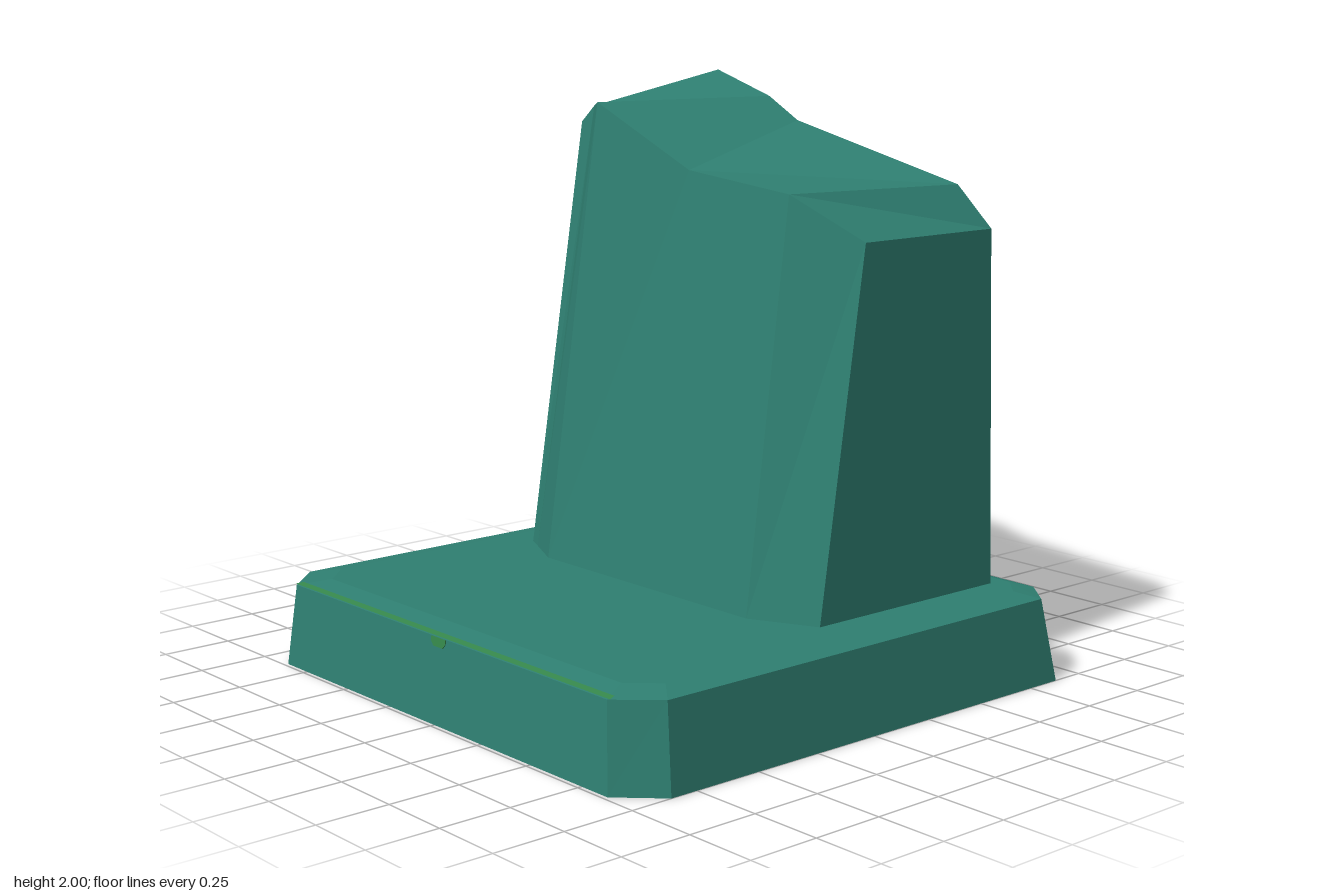
import * as THREE from 'three';

const teal = new THREE.MeshStandardMaterial({ color: 0x2f8072, side: THREE.DoubleSide });
teal.name = 'teal shell';
const green = new THREE.MeshStandardMaterial({ color: 0x36894c, side: THREE.DoubleSide });
green.name = 'green accent';

// Flat-faced surface from quads given as four corners, counter-clockwise from outside
function quadMesh(name, quads, material) {
  const pos = [];
  for (const [a, b, c, d] of quads) pos.push(...a, ...b, ...c, ...a, ...c, ...d);
  const geo = new THREE.BufferGeometry();
  geo.setAttribute('position', new THREE.Float32BufferAttribute(pos, 3));
  geo.computeVertexNormals();
  const mesh = new THREE.Mesh(geo, material);
  mesh.name = name;
  return mesh;
}

// Quads joining two matching rows of points
function strip(lower, upper, closed = false) {
  const quads = [];
  const n = lower.length;
  for (let i = 0; i < (closed ? n : n - 1); i++) {
    const j = (i + 1) % n;
    quads.push([lower[i], lower[j], upper[j], upper[i]]);
  }
  return quads;
}

// Rectangle with cut corners, running from the back right round the front
function ring(y, xi, xo, zf, zfi, zb, zbi) {
  const half = [[xi, zb], [xo, zbi], [xo, zfi], [xi, zf]];
  return [
    ...half.map(([x, z]) => [-x, y, z]),
    ...half.reverse().map(([x, z]) => [x, y, z]),
  ];
}

export function createModel() {
  const model = new THREE.Group();
  model.name = 'openBackedHousing';

  // Base skirt, open at the back, with a shallow bevel
  const foot = ring(0, 0.87, 1.0, 0.985, 0.85, -0.985, -0.88);
  const rim = ring(0.285, 0.84, 0.96, 0.96, 0.83, -0.94, -0.84);
  const deck = ring(0.3, 0.78, 0.87, 0.855, 0.76, -0.885, -0.8);
  model.add(quadMesh('baseSkirt', strip(foot, rim), teal));
  model.add(quadMesh('baseBevel', strip(rim, deck, true), teal));

  // Column outline at the deck, then front and back edges of its sloping roof
  const ground = [
    [-0.75, 0.3, 0], [-0.68, 0.3, 0.033], [-0.52, 0.3, 0.11],
    [0, 0.3, 0.11], [0.52, 0.3, 0.11], [0.75, 0.3, 0],
  ];
  const frontEdge = [
    [-0.72, 1.83, -0.22], [-0.65, 1.89, -0.22], [-0.485, 1.915, -0.1],
    [0, 1.71, -0.1], [0.485, 1.665, -0.1], [0.715, 1.52, -0.22],
  ];
  const backEdge = [
    [-0.72, 1.94, -0.82], [-0.65, 2.0, -0.82], [-0.36, 1.915, -0.81],
    [-0.2, 1.835, -0.8], [0.61, 1.665, -0.765], [0.715, 1.52, -0.82],
  ];
  const backRight = [-0.75, 0.3, -0.82];
  const backLeft = [0.75, 0.3, -0.82];

  // Deck with the column opening cut out
  const flat = ([x, , z]) => new THREE.Vector2(x, -z);
  const shape = new THREE.Shape(deck.map(flat));
  shape.holes.push(new THREE.Path([backRight, ...ground, backLeft].map(flat)));
  const deckMesh = new THREE.Mesh(new THREE.ShapeGeometry(shape).rotateX(-Math.PI / 2), teal);
  deckMesh.position.y = 0.3;
  deckMesh.name = 'baseDeck';
  model.add(deckMesh);

  // Column shell, open at the back
  model.add(quadMesh('columnFront', strip(ground, frontEdge), teal));
  model.add(quadMesh('columnRoof', strip(frontEdge, backEdge), teal));
  model.add(quadMesh('columnSides', [
    [backRight, ground[0], frontEdge[0], backEdge[0]],
    [ground[5], backLeft, backEdge[5], frontEdge[5]],
  ], teal));

  // Narrow accent along the front of the bevel
  model.add(quadMesh('frontAccent', [
    [[-0.85, 0.2875, 0.957], [0.85, 0.2875, 0.957], [0.84, 0.291, 0.932], [-0.84, 0.291, 0.932]],
  ], green));

  // Small tab set through the front wall
  const tab = new THREE.Shape([
    [-0.025, -0.03], [0.025, -0.03], [0.038, -0.015], [0.038, 0], [-0.038, 0], [-0.038, -0.015],
  ].map(([x, y]) => new THREE.Vector2(x, y)));
  const tabGeo = new THREE.ExtrudeGeometry(tab, { depth: 0.006, bevelEnabled: false });
  const tabMesh = new THREE.Mesh(tabGeo.translate(0, 0, -0.003), green);
  tabMesh.rotation.x = -Math.atan2(0.025, 0.285);
  tabMesh.position.set(0, 0.284, 0.96);
  tabMesh.name = 'frontTab';
  model.add(tabMesh);

  return model;
}
